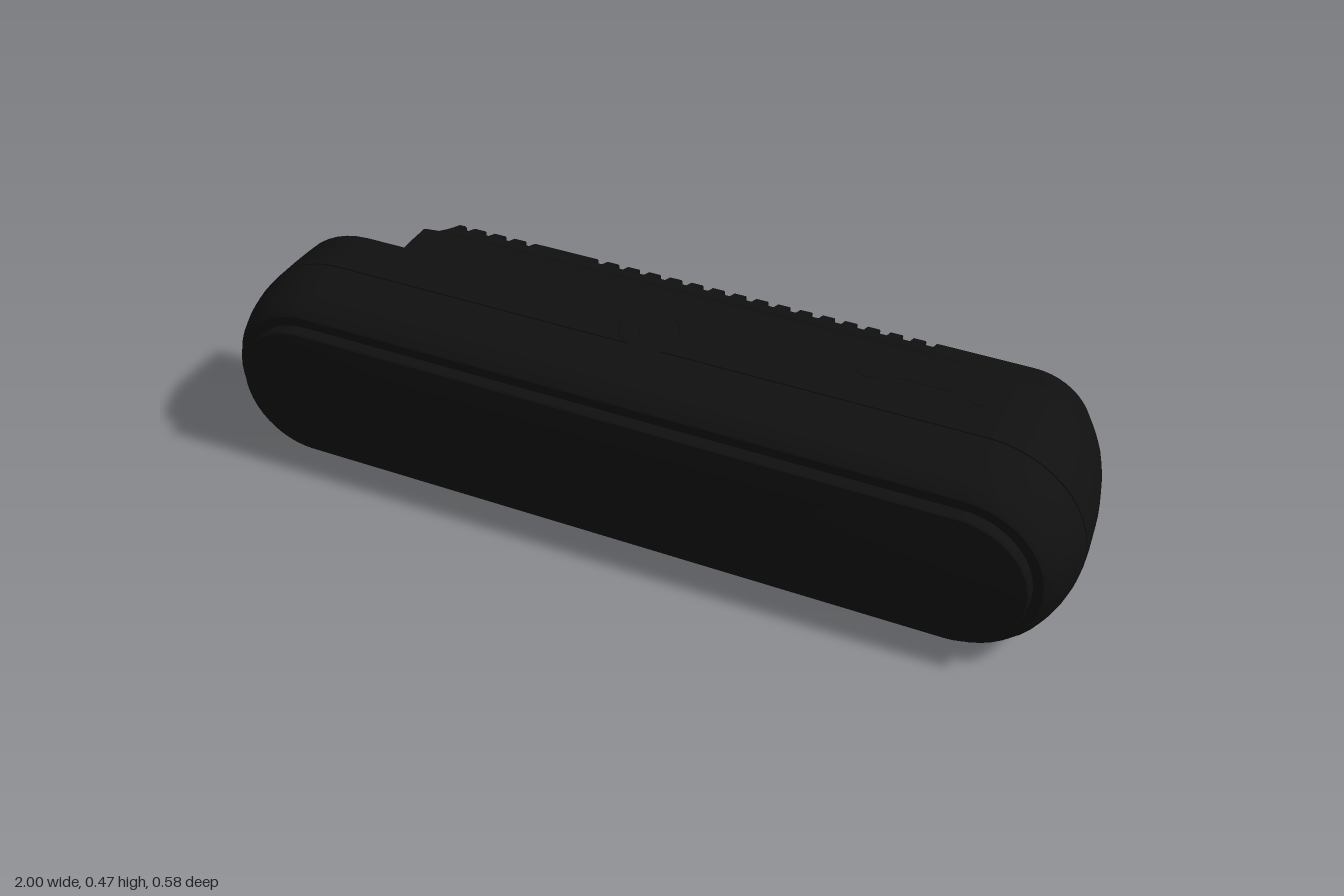
import * as THREE from 'three';
import { toCreasedNormals } from 'three/addons/utils/BufferGeometryUtils.js';

const black = new THREE.MeshStandardMaterial({ color: 0x101010 });
const CX = 0.766, MID = 0.234;   // centre of the round ends, mid height

// rear housing stations: [z, top y, bottom y, end radius], front to back
const REAR = [
  [0.102, 0.467, 0, 0.234], [0.05, 0.467, 0.002, 0.232], [0, 0.467, 0.006, 0.228],
  [-0.03, 0.466, 0.009, 0.225], [-0.07, 0.466, 0.015, 0.219], [-0.12, 0.464, 0.025, 0.209],
  [-0.132, 0.458, 0.028, 0.206], [-0.16, 0.439, 0.036, 0.198], [-0.185, 0.422, 0.043, 0.191],
  [-0.22, 0.406, 0.057, 0.177], [-0.255, 0.392, 0.073, 0.161], [-0.285, 0.381, 0.088, 0.146],
  [-0.29, 0.375, 0.094, 0.139],
];
// front housing and front panel stations, same layout
const round = ([z, r]) => [z, MID + r, MID - r, r];
const FRONT = [[0.26, 0.186], [0.256, 0.192], [0.23, 0.208], [0.2, 0.219], [0.17, 0.227],
  [0.14, 0.232], [0.107, 0.234]].map(round);
const PANEL = [[0.291, 0.156], [0.29, 0.161], [0.286, 0.164], [0.255, 0.164]].map(round);

export function createModel() {
  const model = new THREE.Group();
  const add = (name, geometry, x = 0, y = 0, z = 0, parent = model) => {
    const mesh = new THREE.Mesh(geometry, black);
    mesh.name = name;
    mesh.position.set(x, y, z);
    parent.add(mesh);
    return mesh;
  };

  // front and rear shells
  add('frontPanel', loft(PANEL));
  add('frontHousing', loft(FRONT));
  add('rearHousingLeftEnd', loft(REAR, 0.55));
  add('rearHousingRightEnd', loft(REAR.filter(s => s[0] >= -0.03), undefined, -0.67));
  add('rearHousingMiddle', slab(-0.67, 0.55, REAR.filter(s => s[0] >= -0.255)));

  // cooling ribs are what remains between the vertical grooves
  const ribs = new THREE.Group();
  ribs.name = 'coolingRibs';
  model.add(ribs);
  const grooves = [];
  for (let i = 0; i < 4; i++) grooves.push(-0.642 + i * 0.0547);
  for (let i = 0; i < 16; i++) grooves.push(-0.285 + i * 0.0543);
  const back = REAR.filter(s => s[0] <= -0.255);
  let start = -0.67;
  for (const g of [...grooves, 0.563]) {
    add('rib', slab(start, g - 0.013, back), 0, 0, 0, ribs);
    start = g + 0.013;
  }

  // screws on the back
  for (const x of [-0.38, 0.61]) for (const y of [0.14, 0.32]) {
    add('backScrew', new THREE.TorusGeometry(0.016, 0.003, 8, 24), x, y, -0.29);
  }

  // cable socket in the cut-away corner
  const socket = new THREE.Group();
  socket.name = 'cableSocket';
  socket.position.set(-0.66, 0.235, -0.141);
  socket.rotation.z = Math.PI / 2;   // local +y points to -x
  model.add(socket);
  add('socketNut', new THREE.CylinderGeometry(0.078, 0.078, 0.09, 6), 0, 0.045, 0, socket);
  const barrel = [[0, 0.05], [0.061, 0.05], [0.061, 0.257], [0.057, 0.262], [0.046, 0.262],
    [0.044, 0.258], [0.044, 0.17], [0, 0.17]].map(p => new THREE.Vector2(...p));
  add('socketBarrel', toCreasedNormals(new THREE.LatheGeometry(barrel, 32), 0.6), 0, 0, 0, socket);
  add('socketPin', new THREE.CylinderGeometry(0.008, 0.008, 0.06, 12), 0, 0.2, 0, socket);

  // round mount on top, bridging the seam
  const mount = [[0, 0.404], [0.085, 0.404], [0.085, 0.467], [0.083, 0.469], [0.05, 0.469],
    [0.048, 0.4675], [0.044, 0.4675], [0.042, 0.469], [0, 0.469]].map(p => new THREE.Vector2(...p));
  add('topMount', toCreasedNormals(new THREE.LatheGeometry(mount, 48), 0.5), 0, 0, 0.03);

  // control panel on top
  const pw = 0.175, ph = 0.054, pr = 0.018;
  const plate = new THREE.Shape();
  plate.absarc(pw - pr, ph - pr, pr, 0, Math.PI / 2);
  plate.absarc(pr - pw, ph - pr, pr, Math.PI / 2, Math.PI);
  plate.absarc(pr - pw, pr - ph, pr, Math.PI, Math.PI * 1.5);
  plate.absarc(pw - pr, pr - ph, pr, Math.PI * 1.5, Math.PI * 2);
  const plateGeo = new THREE.ExtrudeGeometry(plate, { depth: 0.01, bevelEnabled: false });
  plateGeo.rotateX(-Math.PI / 2);
  add('controlPlate', plateGeo, 0.595, 0.4575, -0.025);
  for (const x of [0.473, 0.717]) {
    add('controlButton', new THREE.CylinderGeometry(0.034, 0.034, 0.01, 32), x, 0.464, -0.025);
  }
  add('controlBar', new THREE.BoxGeometry(0.14, 0.01, 0.022), 0.595, 0.4637, -0.025);

  // threaded mount underneath
  const ring = add('bottomMount', new THREE.TorusGeometry(0.03, 0.004, 8, 32), 0, 0.007, 0.02);
  ring.rotation.x = Math.PI / 2;
  return model;
}

// piece of the rear housing with a constant side profile between two x positions
function slab(x0, x1, stations) {
  const outline = [
    ...stations.map(s => new THREE.Vector2(-s[0], s[1])),
    ...[...stations].reverse().map(s => new THREE.Vector2(-s[0], s[2])),
  ];
  const geo = new THREE.ExtrudeGeometry(new THREE.Shape(outline), { depth: x1 - x0, bevelEnabled: false });
  geo.rotateY(Math.PI / 2).translate(x0, 0, 0);
  return toCreasedNormals(geo, 0.35);
}

// outline at one station: each end is round, or straight where an x is given
function ring([z, top, bottom, r], xLeft, xRight) {
  const pts = [], n = 24;
  const end = (x, side) => {
    if (x !== undefined) {
      pts.push([x, side > 0 ? bottom : top, z], [x, side > 0 ? top : bottom, z]);
      return;
    }
    for (let i = 0; i <= n; i++) {
      const a = side * (i / n - 0.5) * Math.PI, s = Math.sin(a);
      const y = MID + s * (s > 0 ? top - MID : MID - bottom);
      pts.push([side * (CX + r * Math.cos(a)), y, z]);
    }
  };
  end(xRight, 1);
  // the second end runs from top to bottom
  if (xLeft !== undefined) end(xLeft, -1);
  else {
    for (let i = 0; i <= n; i++) {
      const a = (0.5 - i / n) * Math.PI, s = Math.sin(a);
      pts.push([-(CX + r * Math.cos(a)), MID + s * (s > 0 ? top - MID : MID - bottom), z]);
    }
  }
  return pts;
}

// closed skin through the outlines of all stations, front to back
function loft(stations, xLeft, xRight) {
  const rings = stations.map(s => ring(s, xLeft, xRight));
  const n = rings[0].length, pos = [];
  const centre = loop => [0, 1, 2].map(k => loop.reduce((sum, p) => sum + p[k], 0) / n);
  const first = rings[0], last = rings[rings.length - 1];
  const c0 = centre(first), c1 = centre(last);
  for (let i = 0; i < n; i++) {
    const j = (i + 1) % n;
    pos.push(...c0, ...first[i], ...first[j], ...c1, ...last[j], ...last[i]);
    for (let k = 0; k + 1 < rings.length; k++) {
      const a = rings[k], b = rings[k + 1];
      pos.push(...a[i], ...b[i], ...a[j], ...a[j], ...b[i], ...b[j]);
    }
  }
  const geo = new THREE.BufferGeometry();
  geo.setAttribute('position', new THREE.Float32BufferAttribute(pos, 3));
  return toCreasedNormals(geo, 0.5);
}
